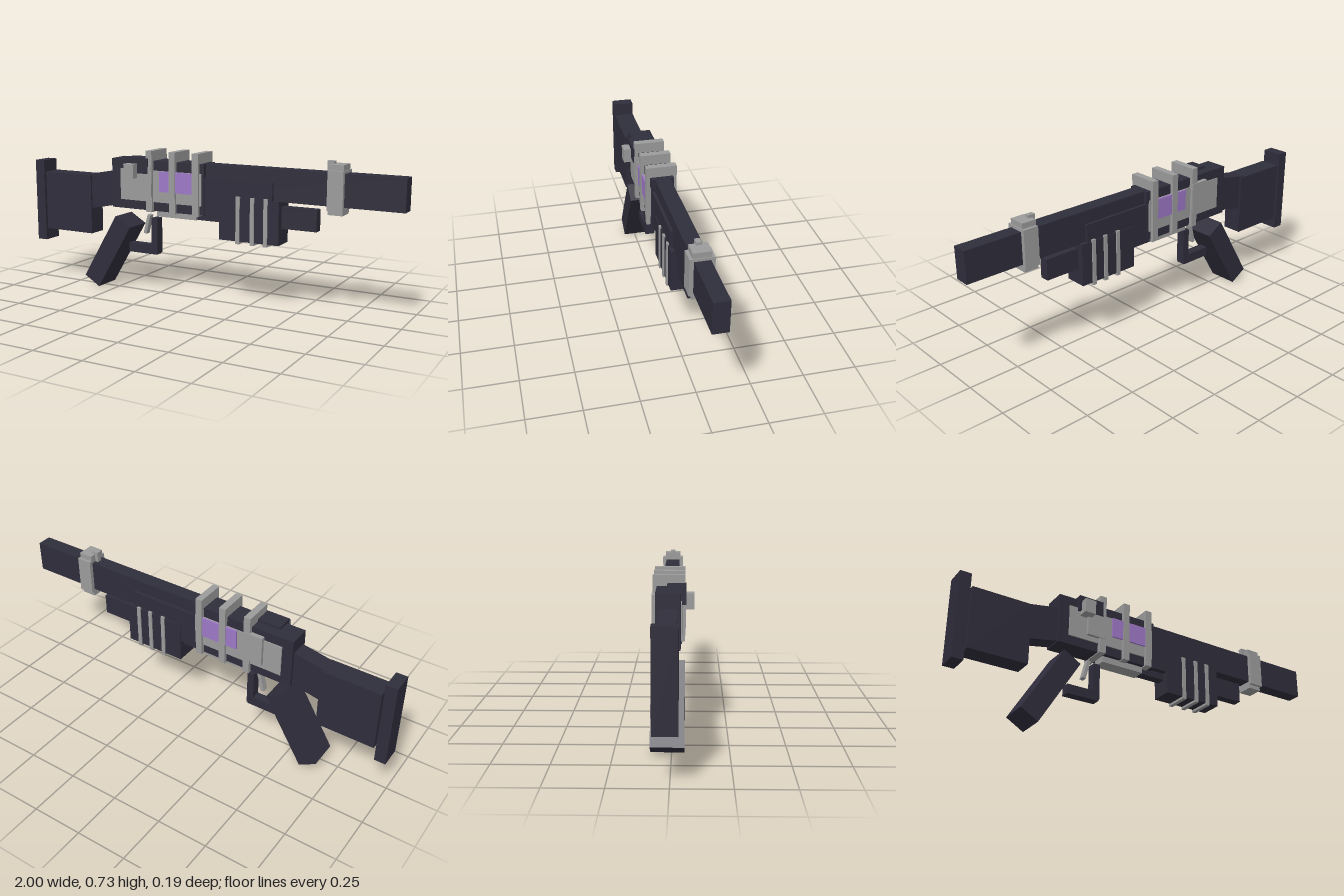
import * as THREE from 'three';

const MID = -0.018; // z of the symmetry plane

function material(name, color) {
  const m = new THREE.MeshStandardMaterial({ color });
  m.name = name;
  return m;
}

export function createModel() {
  const group = new THREE.Group();
  const dark = material('dark metal', 0x2f2d3b);
  const grey = material('grey metal', 0x9b9b9b);
  const purple = material('purple cell', 0x9d78c6);

  function add(name, geometry, mat, x, y, z) {
    const mesh = new THREE.Mesh(geometry, mat);
    mesh.name = name;
    mesh.position.set(x, y, z);
    group.add(mesh);
    return mesh;
  }
  // Box from its x, y and z extents
  const box = (name, mat, x0, x1, y0, y1, z0, z1) => add(name,
    new THREE.BoxGeometry(x1 - x0, y1 - y0, z1 - z0), mat, (x0 + x1) / 2, (y0 + y1) / 2, (z0 + z1) / 2);
  // Box centred on the symmetry plane, w wide
  const mid = (name, mat, x0, x1, y0, y1, w) => box(name, mat, x0, x1, y0, y1, MID - w / 2, MID + w / 2);

  // Stock
  mid('buttPlate', dark, -1, -0.945, 0.217, 0.645, 0.104);
  mid('stockBody', dark, -0.935, -0.645, 0.28, 0.585, 0.1);
  const wristShape = new THREE.Shape([[-0.69, 0.405], [-0.5, 0.442], [-0.5, 0.618], [-0.69, 0.583]]
    .map(([x, y]) => new THREE.Vector2(x, y)));
  add('stockWrist', new THREE.ExtrudeGeometry(wristShape, { depth: 0.08, bevelEnabled: false }), dark, 0, 0, MID - 0.04);

  // Receiver, side plates and energy cell
  mid('receiver', dark, -0.505, 0.025, 0.435, 0.684, 0.11);
  mid('sidePlates', grey, -0.452, 0.012, 0.48, 0.637, 0.121);
  mid('ejectionPlates', grey, -0.36, -0.262, 0.505, 0.655, 0.152);
  mid('energyCell', purple, -0.22, -0.004, 0.535, 0.636, 0.138);
  mid('bottomPlate', grey, -0.255, -0.03, 0.404, 0.437, 0.07);
  for (const x of [-0.277, -0.145, -0.016]) mid('receiverBand', grey, x - 0.017, x + 0.017, 0.43, 0.734, 0.146);

  // Bolt
  box('boltHousing', dark, -0.41, -0.28, 0.62, 0.697, -0.025, 0.06);
  box('boltHandle', grey, -0.398, -0.342, 0.597, 0.668, 0.03, 0.096);

  // Barrel, magazine tube and fore-end
  mid('barrel', dark, 0, 1, 0.532, 0.683, 0.072);
  mid('magazineTube', dark, -0.035, 0.59, 0.405, 0.507, 0.046);
  mid('handguard', dark, 0.02, 0.38, 0.44, 0.62, 0.1);
  mid('pump', dark, 0.105, 0.416, 0.328, 0.535, 0.109);
  for (const x of [0.206, 0.281, 0.35]) mid('pumpRib', grey, x - 0.01, x + 0.01, 0.316, 0.543, 0.12);

  // Barrel clamp and front sight
  mid('barrelClamp', grey, 0.647, 0.722, 0.515, 0.696, 0.11);
  mid('clampCore', grey, 0.647, 0.718, 0.494, 0.722, 0.082);
  mid('frontSight', grey, 0.63, 0.663, 0.683, 0.735, 0.024);

  // Grip, trigger and guard
  add('grip', new THREE.BoxGeometry(0.1, 0.386, 0.147), dark, -0.535, 0.199, MID).rotation.z = -0.54;
  mid('guardFront', dark, -0.295, -0.26, 0.21, 0.39, 0.046);
  mid('guardBottom', dark, -0.43, -0.265, 0.203, 0.25, 0.046);
  add('trigger', new THREE.BoxGeometry(0.017, 0.1, 0.03), grey, -0.327, 0.354, MID).rotation.z = -0.25;

  return group;
}
